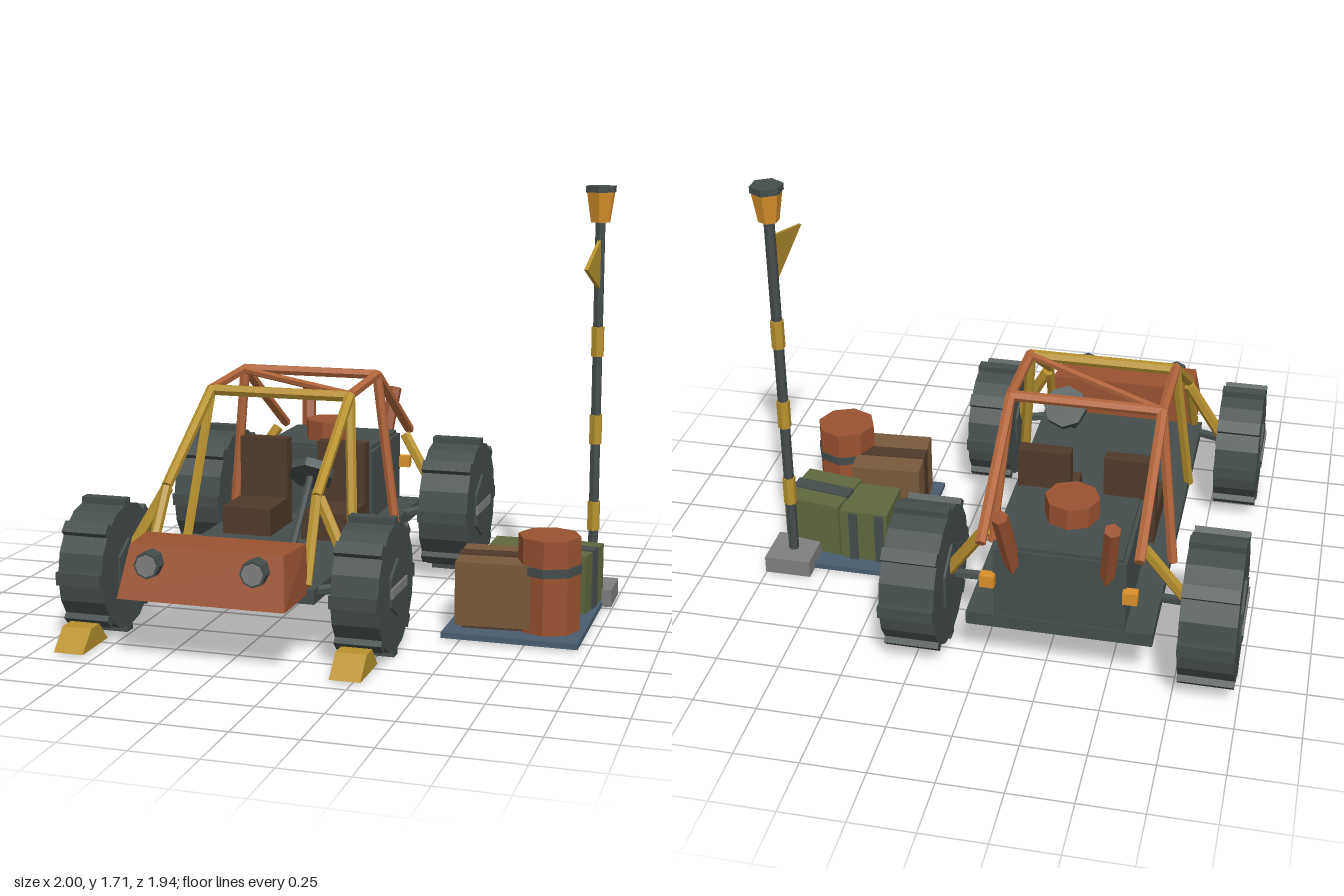
import * as THREE from 'three';

const mat = (name, color) => Object.assign(new THREE.MeshStandardMaterial({ color }), { name });
const M = {
  dark: mat('dark slate', 0x454d4d), rust: mat('rust', 0x9a5230), copper: mat('copper tube', 0xb5673c),
  ochre: mat('ochre', 0xb8922f), seat: mat('dark brown', 0x4f3a2b), crate: mat('crate brown', 0x775a3d),
  green: mat('olive green', 0x5f6840), blue: mat('slate blue', 0x4a5d6e), gray: mat('gray', 0x808080),
  amber: mat('amber', 0xd8902c),
};
const CX = -0.315; // centre line of the buggy

// Faceted mesh with one normal per face
function add(parent, name, geo, material, x = 0, y = 0, z = 0) {
  const g = geo.index ? geo.toNonIndexed() : geo;
  g.computeVertexNormals();
  const m = new THREE.Mesh(g, material);
  m.name = name;
  m.position.set(x, y, z);
  parent.add(m);
  return m;
}
// Box given by its extents
function box(parent, name, material, x0, x1, y0, y1, z0, z1) {
  return add(parent, name, new THREE.BoxGeometry(x1 - x0, y1 - y0, z1 - z0), material,
    (x0 + x1) / 2, (y0 + y1) / 2, (z0 + z1) / 2);
}
const cyl = (rt, rb, h, n) => new THREE.CylinderGeometry(rt, rb, h, n);
// Straight tube between two points
function bar(parent, name, material, a, b, r = 0.021, n = 6) {
  const A = new THREE.Vector3(...a), B = new THREE.Vector3(...b), d = B.clone().sub(A);
  const m = add(parent, name, cyl(r, r, d.length(), n), material);
  m.position.copy(A).add(B).multiplyScalar(0.5);
  m.quaternion.setFromUnitVectors(new THREE.Vector3(0, 1, 0), d.normalize());
  return m;
}
function group(parent, name, x = 0, y = 0, z = 0) {
  const g = new THREE.Group();
  g.name = name;
  g.position.set(x, y, z);
  parent.add(g);
  return g;
}

// Tyre with lugs, hexagonal hub and a pale bar on the outer face
function wheel(parent, name, side, offset, y, z, r, w, hubR) {
  const g = group(parent, name, side * offset, y, z);
  add(g, 'tyre', cyl(r, r, w, 16), M.dark).rotation.z = Math.PI / 2;
  for (let i = 0; i < 8; i++) {
    const a = i * Math.PI / 4;
    const lug = add(g, 'treadLug', new THREE.BoxGeometry(w, 0.04, 0.05), M.dark,
      0, Math.cos(a) * r, Math.sin(a) * r);
    lug.rotation.x = a;
  }
  const hub = add(g, 'hub', cyl(hubR, hubR, w + 0.02, 6).rotateY(Math.PI / 2), M.dark);
  hub.rotation.z = Math.PI / 2;
  hub.geometry.computeVertexNormals();
  add(g, 'hubBar', new THREE.BoxGeometry(0.008, 0.038, hubR * 1.86), M.gray, side * (w / 2 + 0.012));
}

function buildCage(car) {
  const cage = group(car, 'rollCage');
  const T = 0.295;
  for (const s of [-1, 1]) {
    const front = [s * T, 0.89, 0.07], rear = [s * T, 0.915, -0.32];
    const bend = [s * 0.305, 0.58, 0.53];
    bar(cage, 'frontBarUpper', M.ochre, front, bend);
    bar(cage, 'frontBarLower', M.ochre, bend, [s * 0.32, 0.28, 0.7]);
    bar(cage, 'frontHoopLeg', M.ochre, front, [s * 0.355, 0.26, 0.23]);
    bar(cage, 'roofRail', M.copper, front, rear);
    bar(cage, 'rearHoopLeg', M.copper, rear, [s * 0.365, 0.26, -0.36]);
    bar(cage, 'rearBar', M.copper, rear, [s * T, 0.585, -0.85]);
  }
  bar(cage, 'frontCrossBar', M.ochre, [-T, 0.885, 0.07], [T, 0.885, 0.07], 0.023);
  bar(cage, 'rearCrossBar', M.copper, [-T, 0.915, -0.32], [T, 0.915, -0.32]);
  bar(cage, 'roofDiagonal', M.copper, [-T, 0.91, -0.31], [T, 0.89, 0.06], 0.016);
}

function buildBuggy(root) {
  const car = group(root, 'buggy', CX);
  box(car, 'chassis', M.dark, -0.355, 0.355, 0.215, 0.27, -0.855, 0.72);

  // Nose: a box narrowed at its top, with a sloping front
  const nose = new THREE.BoxGeometry(0.65, 0.19, 0.265);
  const p = nose.attributes.position;
  for (let i = 0; i < p.count; i++) {
    if (p.getY(i) < 0) continue;
    if (p.getZ(i) > 0) { p.setZ(i, p.getZ(i) - 0.07); p.setX(i, p.getX(i) * 0.92); }
    else p.setX(i, p.getX(i) * 0.98);
  }
  add(car, 'nose', nose, M.rust, 0, 0.345, 0.8325);

  // Engine and air filter
  box(car, 'engine', M.dark, -0.25, 0.25, 0.27, 0.565, -0.85, -0.41);
  box(car, 'engineCover', M.dark, -0.235, 0.235, 0.565, 0.58, -0.84, -0.425);
  add(car, 'airFilter', cyl(0.105, 0.105, 0.085, 8), M.rust, 0, 0.6225, -0.588);

  for (const s of [-1, 1]) {
    const lamp = group(car, 'headlight', s * 0.205, 0.383, 0.93);
    add(lamp, 'lampHousing', cyl(0.05, 0.05, 0.07, 8), M.dark).rotation.x = Math.PI / 2;
    add(lamp, 'lampLens', cyl(0.041, 0.041, 0.008, 8), M.gray, 0, 0, 0.037).rotation.x = Math.PI / 2;

    bar(car, 'exhaust', M.rust, [s * 0.175, 0.47, -0.82], [s * 0.205, 0.76, -0.925], 0.032, 6);
    box(car, 'tailLight', M.amber, s * 0.268 - 0.028, s * 0.268 + 0.028, 0.41, 0.46, -0.88, -0.84);

    // Seats
    const seat = group(car, 'seat', s * 0.172);
    box(seat, 'cushion', M.seat, -0.105, 0.105, 0.27, 0.385, -0.26, 0.015);
    box(seat, 'backrest', M.seat, -0.105, 0.105, 0.27, 0.64, -0.265, -0.205);

    // Suspension
    bar(car, 'frontShock', M.ochre, [s * 0.31, 0.57, 0.51], [s * 0.46, 0.29, 0.575], 0.024);
    bar(car, 'rearShock', M.ochre, [s * 0.3, 0.58, -0.755], [s * 0.47, 0.32, -0.695], 0.024);
    bar(car, 'frontArm', M.dark, [s * 0.33, 0.25, 0.67], [s * 0.47, 0.265, 0.6], 0.02);
    bar(car, 'rearArm', M.dark, [s * 0.33, 0.25, -0.59], [s * 0.47, 0.29, -0.65], 0.02);

    wheel(car, 'frontWheel', s, 0.54, 0.268, 0.58, 0.245, 0.18, 0.11);
    wheel(car, 'rearWheel', s, 0.562, 0.3, -0.674, 0.275, 0.212, 0.138);

    // Wheel chock
    const shape = new THREE.Shape([[-0.94, 0.012], [-0.72, 0.012], [-0.79, 0.09], [-0.86, 0.09]]
      .map(([a, b]) => new THREE.Vector2(a, b)));
    const chock = new THREE.ExtrudeGeometry(shape, { depth: 0.118, bevelEnabled: false })
      .translate(0, 0, -0.059).rotateY(Math.PI / 2);
    add(car, 'wheelChock', chock, M.ochre, s * 0.54);
  }

  // Steering wheel on its column
  bar(car, 'steeringColumn', M.dark, [0.17, 0.59, 0.185], [0.175, 0.355, 0.435], 0.015);
  bar(car, 'steeringWheel', M.dark, [0.17, 0.602, 0.172], [0.17, 0.574, 0.2], 0.09, 8);
  buildCage(car);
}

function buildCargo(root) {
  const cargo = group(root, 'cargo');
  box(cargo, 'groundSheet', M.blue, 0.43, 0.96, 0.012, 0.035, -0.36, 0.352);

  const crate = group(cargo, 'crate', 0.605, 0, 0.14);
  crate.rotation.y = 0.07;
  box(crate, 'crateBody', M.crate, -0.145, 0.145, 0.05, 0.302, -0.145, 0.145);
  box(crate, 'crateBase', M.seat, -0.12, 0.12, 0.03, 0.05, -0.12, 0.12);
  box(crate, 'crateStrap', M.seat, -0.149, 0.149, 0.048, 0.307, -0.04, 0.03);

  add(cargo, 'drum', cyl(0.122, 0.122, 0.37, 8), M.rust, 0.815, 0.22, 0.175);
  add(cargo, 'drumBand', cyl(0.127, 0.127, 0.035, 8), M.dark, 0.815, 0.28, 0.175);

  const caseA = group(cargo, 'smallCase', 0.61, 0, -0.182);
  box(caseA, 'caseBody', M.green, -0.1, 0.1, 0.035, 0.265, -0.108, 0.108);
  for (const x of [-0.065, 0.045])
    box(caseA, 'caseStrap', M.dark, x - 0.018, x + 0.018, 0.035, 0.258, -0.116, 0.116);

  const caseB = group(cargo, 'strappedCase', 0.822, 0, -0.153);
  caseB.rotation.y = -0.15;
  box(caseB, 'caseBody', M.green, -0.122, 0.122, 0.04, 0.275, -0.118, 0.118);
  box(caseB, 'caseStrap', M.dark, -0.126, 0.126, 0.038, 0.28, -0.033, 0.033);
}

function buildMarker(root) {
  const marker = group(root, 'markerPole', 0.903, 0, -0.333);
  box(marker, 'poleFoot', M.gray, -0.095, 0.095, 0.013, 0.085, -0.095, 0.095);
  add(marker, 'pole', cyl(0.021, 0.021, 1.5, 6), M.dark, 0, 0.83);
  for (const y of [0.37, 0.73, 1.09]) add(marker, 'poleBand', cyl(0.027, 0.027, 0.12, 6), M.ochre, 0, y);
  add(marker, 'beacon', cyl(0.06, 0.041, 0.12, 6), M.amber, 0, 1.63);
  add(marker, 'beaconCap', cyl(0.065, 0.065, 0.025, 6), M.dark, 0, 1.702);
  // Pennant pointing forward
  const shape = new THREE.Shape([[-0.015, 1.5], [-0.335, 1.41], [-0.015, 1.305]]
    .map(([a, b]) => new THREE.Vector2(a, b)));
  const flag = new THREE.ExtrudeGeometry(shape, { depth: 0.014, bevelEnabled: false })
    .translate(0, 0, -0.007).rotateY(Math.PI / 2);
  add(marker, 'pennant', flag, M.ochre);
}

export function createModel() {
  const root = new THREE.Group();
  root.name = 'buggyCamp';
  buildBuggy(root);
  buildCargo(root);
  buildMarker(root);
  return root;
}
